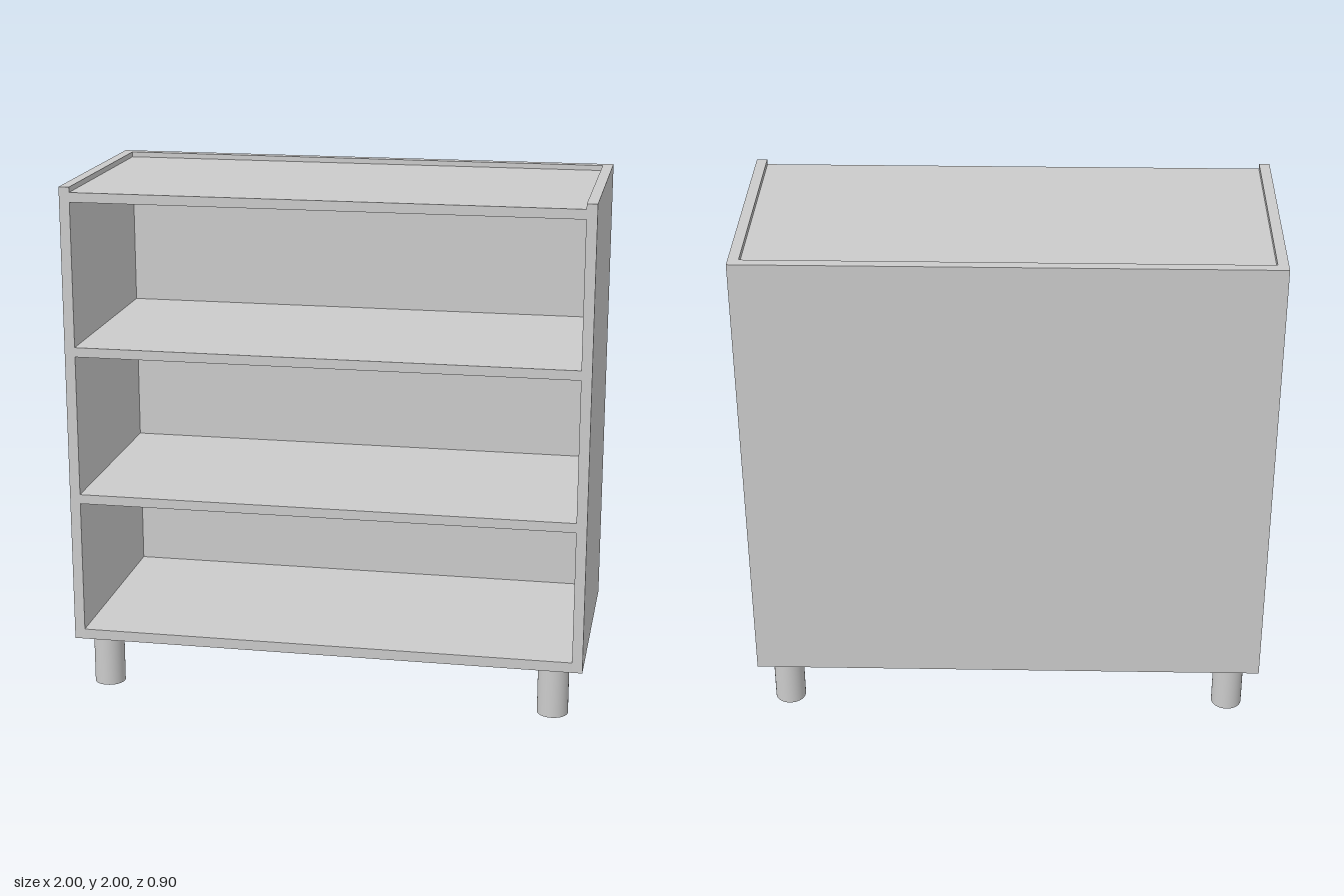
import * as THREE from 'three';

export function createModel() {
  const group = new THREE.Group();
  const material = new THREE.MeshStandardMaterial({ color: 0xcccccc });

  const W = 2, D = 0.9, T = 0.04;       // overall width, depth, board thickness
  const bottom = 0.2, top = 2;          // carcass extent in height
  const innerW = W - 2 * T;

  function add(name, geometry, x, y, z) {
    const mesh = new THREE.Mesh(geometry, material);
    mesh.name = name;
    mesh.position.set(x, y, z);
    group.add(mesh);
  }

  // Side panels
  const midY = (bottom + top) / 2;
  for (const [name, s] of [['leftSide', 1], ['rightSide', -1]]) {
    add(name, new THREE.BoxGeometry(T, top - bottom, D), s * (W - T) / 2, midY, 0);
  }

  // Back panel, fitted between the sides
  add('backPanel', new THREE.BoxGeometry(innerW, top - bottom, T), 0, midY, -(D - T) / 2);

  // Horizontal boards; the top one sits slightly below the rim
  const boards = [
    ['bottomBoard', 0.2, 0.24],
    ['lowerShelf', 0.761, 0.798],
    ['upperShelf', 1.348, 1.385],
    ['topBoard', 1.943, 1.98],
  ];
  for (const [name, y0, y1] of boards) {
    add(name, new THREE.BoxGeometry(innerW, y1 - y0, D - T), 0, (y0 + y1) / 2, T / 2);
  }

  // Round legs
  const legGeometry = new THREE.CylinderGeometry(0.06, 0.06, bottom, 32);
  for (const [side, x] of [['Left', 0.885], ['Right', -0.885]]) {
    for (const [end, z] of [['front', 0.37], ['back', -0.367]]) {
      add(`${end}${side}Leg`, legGeometry, x, bottom / 2, z);
    }
  }

  return group;
}
